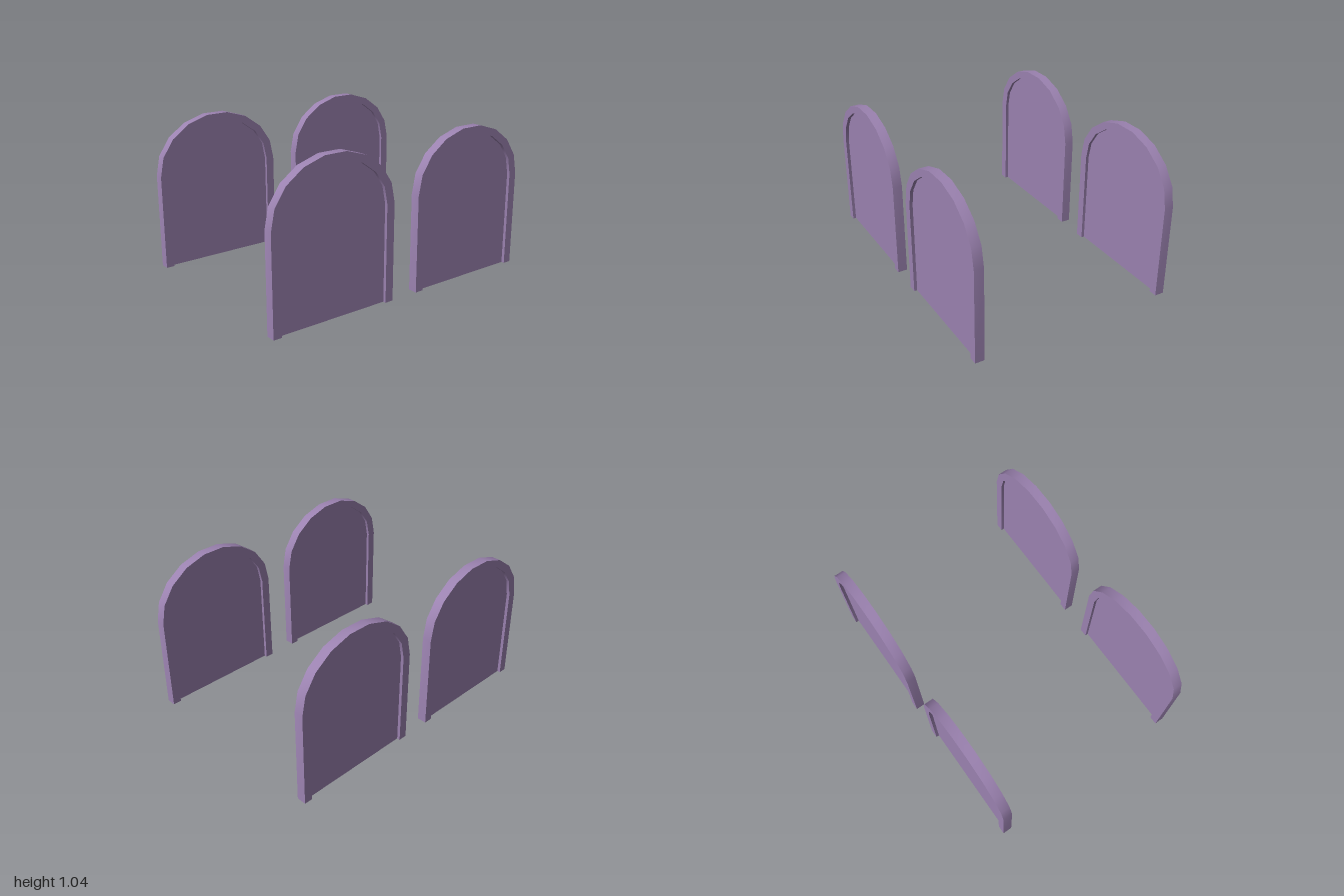
import * as THREE from 'three';
import { toCreasedNormals } from 'three/addons/utils/BufferGeometryUtils.js';

const SPRING = 0.655; // height where the arch begins
const STEPS = 9;

// Points from the right foot over the elliptical arch to the left foot
function archPoints(halfWidth, rise) {
  const pts = [new THREE.Vector2(halfWidth, 0)];
  for (let i = 0; i <= STEPS; i++) {
    const a = (i / STEPS) * Math.PI;
    pts.push(new THREE.Vector2(Math.cos(a) * halfWidth, SPRING + Math.sin(a) * rise));
  }
  pts.push(new THREE.Vector2(-halfWidth, 0));
  return pts;
}

// Extrude an outline centred on z = 0, with the arch smooth and the edges sharp
function slab(points, depth) {
  const geo = new THREE.ExtrudeGeometry(new THREE.Shape(points), { depth, bevelEnabled: false });
  geo.translate(0, 0, -depth / 2);
  return toCreasedNormals(geo, 0.6);
}

export function createModel() {
  const model = new THREE.Group();
  model.name = 'archedPanels';
  const material = new THREE.MeshStandardMaterial({ color: 0x9b82b0 });

  const outer = archPoints(0.45, 0.39);
  const inner = archPoints(0.392, 0.34);
  const frameGeo = slab([...outer, ...inner.slice().reverse()], 0.065);
  const panelGeo = slab(inner, 0.022);

  // Four arched panels, two at the front and two at the back
  for (const z of [0.68, -0.68]) {
    for (const x of [0.55, -0.55]) {
      const unit = new THREE.Group();
      unit.name = (z > 0 ? 'front' : 'back') + (x > 0 ? 'Left' : 'Right') + 'Arch';
      const frame = new THREE.Mesh(frameGeo, material);
      frame.name = 'frame';
      const panel = new THREE.Mesh(panelGeo, material);
      panel.name = 'recessedPanel';
      unit.add(frame, panel);
      unit.position.set(x, 0, z);
      model.add(unit);
    }
  }
  return model;
}
